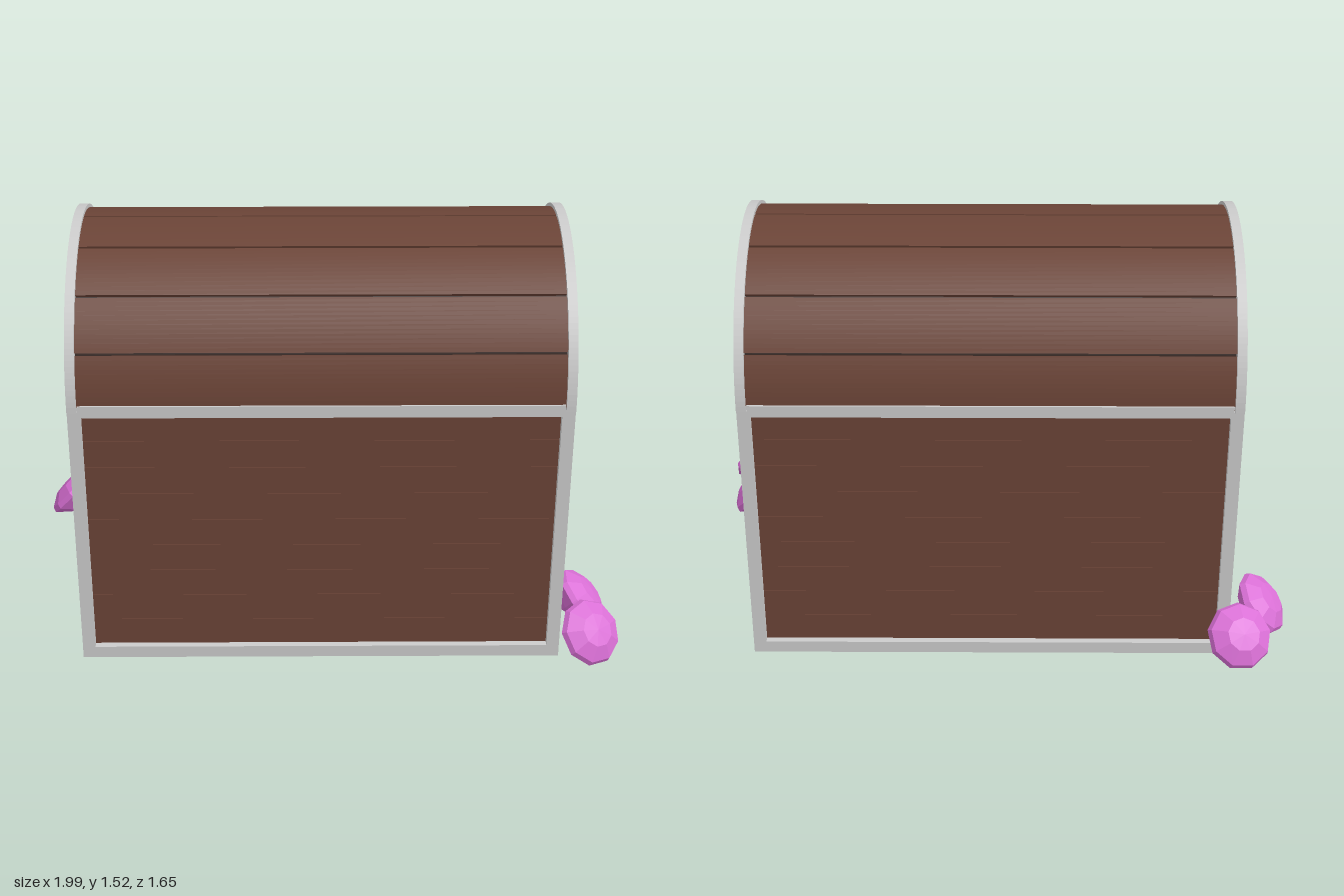
import * as THREE from 'three';

const L = 1.725, W = 1.03, H = 1.0;   // chest length, depth and body height
const BAR = 0.045, RECESS = 0.025;

const metal = new THREE.MeshStandardMaterial({ color: 0xcccccc });
const wood = new THREE.MeshStandardMaterial({ color: 0x6b4437 });
const darkWood = new THREE.MeshStandardMaterial({ color: 0x2e1c16 });
const crystal = new THREE.MeshStandardMaterial({ color: 0xda70d6, flatShading: true });

function add(parent, name, geometry, material, x = 0, y = 0, z = 0) {
  const mesh = new THREE.Mesh(geometry, material);
  mesh.name = name;
  mesh.position.set(x, y, z);
  parent.add(mesh);
  return mesh;
}

const box = (parent, name, mat, w, h, d, x, y, z) =>
  add(parent, name, new THREE.BoxGeometry(w, h, d), mat, x, y, z);

// Arc band (or solid half disc when inner is 0) extruded along x
function archGeometry(inner, outer, a0, a1, length, segments) {
  const shape = new THREE.Shape();
  shape.absarc(0, 0, outer, a0, a1, false);
  if (inner > 0) shape.absarc(0, 0, inner, a1, a0, true);
  const geometry = new THREE.ExtrudeGeometry(shape, { depth: length, bevelEnabled: false, curveSegments: segments });
  geometry.translate(0, 0, -length / 2);
  geometry.rotateY(Math.PI / 2);
  return geometry;
}

function buildBody() {
  const body = new THREE.Group();
  body.name = 'body';
  const px = L / 2 - BAR / 2, pz = W / 2 - BAR / 2;

  // Corner posts and rails
  for (const sx of [-1, 1]) {
    for (const sz of [-1, 1]) box(body, 'cornerPost', metal, BAR, H, BAR, sx * px, H / 2, sz * pz);
    box(body, 'sideBottomRail', metal, BAR, BAR, W - 2 * BAR, sx * px, BAR / 2, 0);
    box(body, 'sideTopRail', metal, BAR, 0.025, W - 2 * BAR, sx * px, H - 0.0125, 0);
  }
  for (const sz of [-1, 1]) {
    box(body, 'longBottomRail', metal, L - 2 * BAR, BAR, BAR, 0, BAR / 2, sz * pz);
    box(body, 'longTopRail', metal, L - 0.07, 0.043, BAR, 0, 0.9985, sz * pz);
  }
  box(body, 'bottomPlate', metal, L - 2 * BAR, 0.03, W - 2 * BAR, 0, 0.015, 0);

  // Dark core seen through the gaps between planks
  const inset = 2 * RECESS + 0.016;
  box(body, 'core', darkWood, L - inset, H - 0.06, W - inset, 0, 0.51, 0);

  // Horizontal planks on all four sides
  const count = 9, pitch = (0.98 - BAR) / count;
  for (let i = 0; i < count; i++) {
    const y = BAR + pitch * (i + 0.5);
    for (const s of [-1, 1]) {
      box(body, 'longPlank', wood, L - 2 * BAR, pitch - 0.001, 0.012, 0, y, s * (W / 2 - RECESS - 0.006));
      box(body, 'sidePlank', wood, 0.012, pitch - 0.006, W - 2 * BAR, s * (L / 2 - RECESS - 0.006), y, 0);
    }
  }
  return body;
}

function buildLid() {
  const lid = new THREE.Group();
  lid.name = 'lid';
  lid.position.y = H;

  // Half-round metal ends
  const cap = archGeometry(0, 0.521, 0, Math.PI, 0.033, 40);
  for (const s of [-1, 1]) add(lid, 'lidEnd', cap, metal, s * (L / 2 - 0.0165), 0, 0);

  // Curved planks over a dark drum
  const inner = L - 0.06;
  add(lid, 'lidCore', archGeometry(0, 0.492, 0, Math.PI, inner, 40), darkWood);
  const count = 8, step = Math.PI / count, gap = 0.009;
  for (let i = 0; i < count; i++) {
    add(lid, 'lidPlank', archGeometry(0.485, 0.508, i * step + gap, (i + 1) * step - gap, inner, 6), wood);
  }
  return lid;
}

// Cut gem: flat table, crown, girdle and pointed back
function gemGeometry() {
  const profile = [[0, -0.085], [0.075, -0.045], [0.12, 0], [0.112, 0.02], [0.06, 0.05], [0, 0.055]];
  return new THREE.LatheGeometry(profile.map(([r, y]) => new THREE.Vector2(r, y)), 9);
}

export function createModel() {
  const model = new THREE.Group();
  model.name = 'chest';

  const chest = new THREE.Group();
  chest.name = 'chestBox';
  chest.add(buildBody(), buildLid());
  chest.position.x = 0.013;
  chest.rotation.y = -0.135;
  model.add(chest);

  // Crystals at two opposite corners: position, facing direction
  const gems = [
    [[0.905, 0.16, 0.5], [0.72, 0.67, 0.15]],
    [[0.877, 0.16, 0.725], [0.36, 0.62, 0.7]],
    [[-0.905, 0.16, -0.555], [-0.68, 0.66, -0.3]],
    [[-0.778, 0.16, -0.745], [-0.14, 0.65, -0.75]],
  ];
  const geometry = gemGeometry(), up = new THREE.Vector3(0, 1, 0);
  for (const [position, facing] of gems) {
    const gem = add(model, 'crystal', geometry, crystal, ...position);
    gem.quaternion.setFromUnitVectors(up, new THREE.Vector3(...facing).normalize());
  }
  return model;
}
